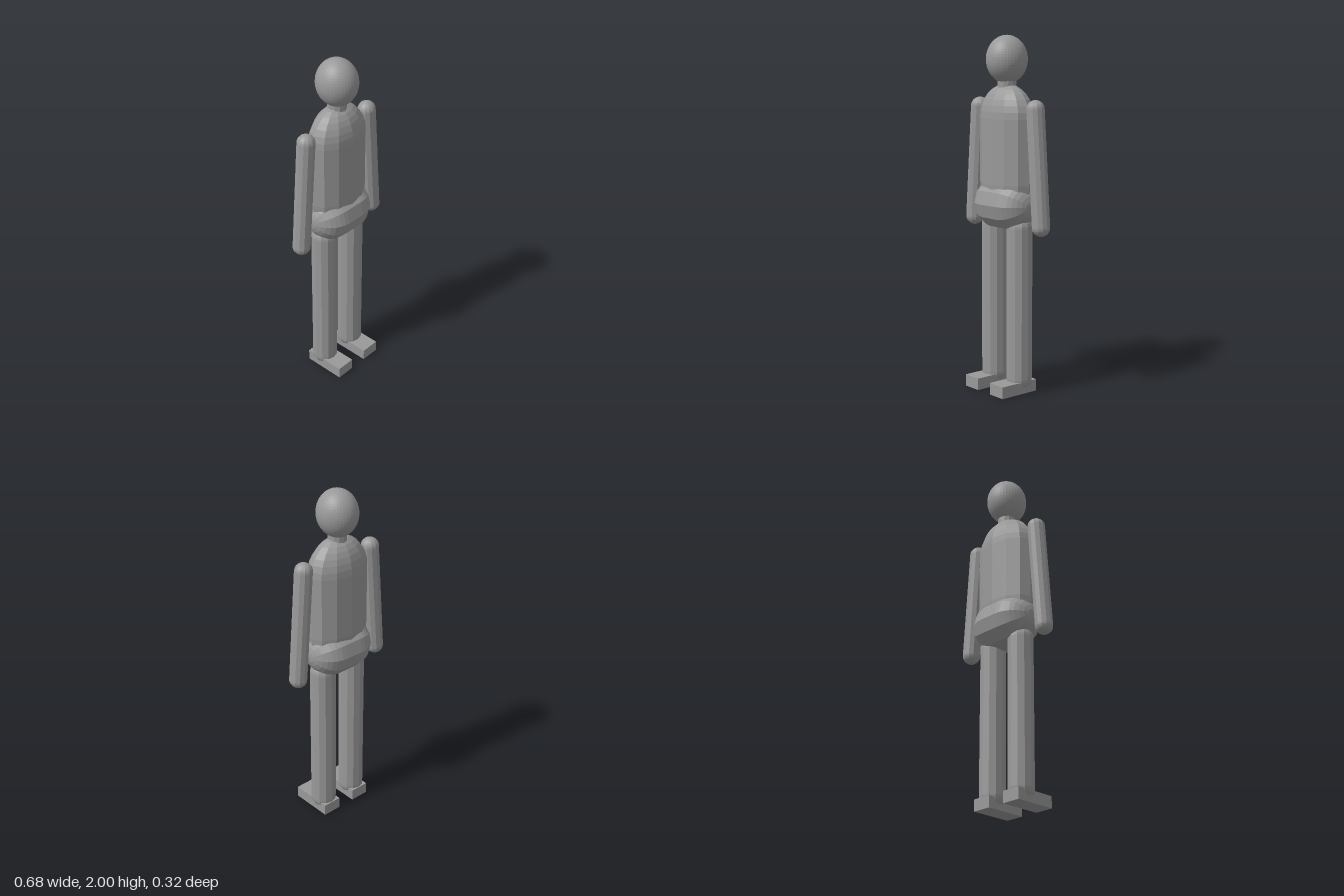
import * as THREE from 'three';

const Z = -0.012; // body axis, slightly behind the toes

export function createModel() {
  const model = new THREE.Group();
  model.name = 'mannequin';
  const grey = new THREE.MeshStandardMaterial({ color: 0x999999 });
  grey.name = 'grey';
  grey.flatShading = true;

  const add = (name, geometry, x, y, z = Z) => {
    const mesh = new THREE.Mesh(geometry, grey);
    mesh.name = name;
    mesh.position.set(x, y, z);
    model.add(mesh);
    return mesh;
  };
  const capsule = (radius, length) => new THREE.CapsuleGeometry(radius, length, 8, 12);

  // Head and neck
  add('head', new THREE.SphereGeometry(1, 40, 28).scale(0.112, 0.133, 0.119), 0, 1.867);
  add('neck', new THREE.CylinderGeometry(0.053, 0.053, 0.12, 12), 0, 1.74);

  // Torso: a capsule flattened front to back
  add('torso', capsule(0.19, 0.363).scale(1, 1, 0.62), 0, 1.362);

  // Hips: a capsule lying sideways
  add('hips', capsule(0.148, 0.11).rotateZ(Math.PI / 2), 0, 1.066);

  for (const side of [1, -1]) {
    const label = side > 0 ? 'left' : 'right';

    // Arm hangs down and slightly outward
    const arm = add(label + 'Arm', capsule(0.051, 0.64), side * 0.263, 1.283);
    arm.rotation.z = side * 0.077;

    // Leg and block foot
    add(label + 'Leg', capsule(0.074, 0.86), side * 0.108, 0.51);
    add(label + 'Foot', new THREE.BoxGeometry(0.113, 0.067, 0.248), side * 0.109, 0.0335, 0.034);
  }

  return model;
}
